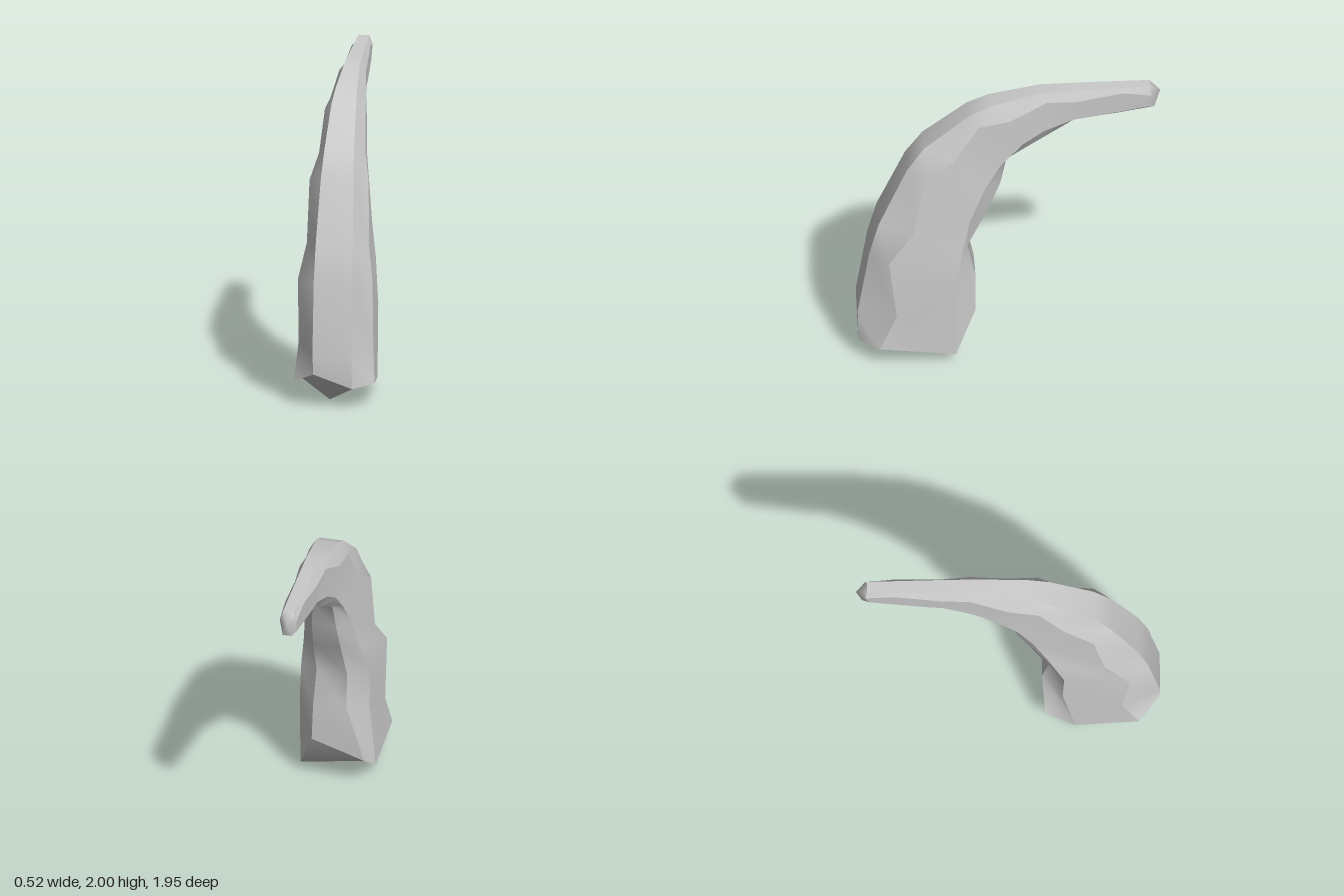
import * as THREE from 'three';
import { mergeGeometries } from 'three/addons/utils/BufferGeometryUtils.js';

// One row per cross-section, base to tip. Each entry is [half width, y, z] for
// the front edge, the side ridge, the rear corner and the back edge.
const rings = [
  [[.125, .17, .97], [.26, .14, .84], [.225, .06, .35], [.12, .30, .22]],
  [[.125, .35, .975], [.24, .38, .73], [.23, .55, .35], [.11, .60, .22]],
  [[.125, .81, .90], [.24, .80, .78], [.21, .84, .31], [.10, .83, .27]],
  [[.12, 1.03, .84], [.20, 1.00, .62], [.18, 1.07, .26], [.09, 1.10, .14]],
  [[.105, 1.44, .66], [.19, 1.40, .55], [.15, 1.31, .16], [.08, 1.30, .06]],
  [[.095, 1.60, .55], [.15, 1.53, .36], [.125, 1.47, .06], [.065, 1.48, .02]],
  [[.08, 1.83, .27], [.13, 1.78, .20], [.11, 1.62, -.08], [.055, 1.55, -.09]],
  [[.07, 1.90, .13], [.115, 1.81, 0], [.09, 1.71, -.22], [.05, 1.635, -.22]],
  [[.05, 1.98, -.20], [.085, 1.93, -.24], [.07, 1.78, -.41], [.04, 1.76, -.41]],
  [[.045, 1.99, -.45], [.075, 1.92, -.42], [.067, 1.795, -.52], [.038, 1.775, -.52]],
  [[.04, 1.995, -.70], [.06, 1.97, -.73], [.06, 1.82, -.68], [.035, 1.80, -.69]],
  [[.035, 2.00, -.90], [.055, 1.94, -.91], [.05, 1.85, -.88], [.03, 1.84, -.93]],
];

// Mirror a half section into a closed loop of eight points
function fullLoop(half) {
  const left = half.map(([w, y, z]) => [w, y, z]);
  const right = half.map(([w, y, z]) => [-w, y, z]).reverse();
  return [...left, ...right];
}

// A surface that is smooth inside and sharp along its border
function patch(points, index) {
  const geometry = new THREE.BufferGeometry();
  geometry.setAttribute('position', new THREE.Float32BufferAttribute(points.flat(), 3));
  geometry.setIndex(index);
  geometry.computeVertexNormals();
  return geometry;
}

function hornGeometry() {
  const loops = rings.map(fullLoop);
  const base = loops[0];
  const top = loops[loops.length - 1];
  const n = base.length;

  // Uneven, broken-off base
  base[0] = [.13, .13, .97];
  base[3] = [.12, .33, .22];
  base[4] = [-.22, .20, .24];
  base[5] = [-.25, .06, .43];
  base[7] = [-.12, .22, .97];
  loops[2][5] = [-.23, .84, .36];

  // Eight facets running the whole length
  const patches = [];
  for (let i = 0; i < n; i++) {
    const points = loops.flatMap(loop => [loop[i], loop[(i + 1) % n]]);
    const index = [];
    for (let k = 0; k < points.length - 2; k += 2) {
      index.push(k, k + 1, k + 2, k + 1, k + 3, k + 2);
    }
    patches.push(patch(points, index));
  }

  // Blunt tip
  const tipFan = top.flatMap((_, i) => [i, (i + 1) % n, n]);
  patches.push(patch([...top, [-.01, 1.94, -.97]], tipFan));

  // Underside: flat on the left, a low point on the right
  patches.push(patch([...base, [-.04, 0, .73]], [
    2, 1, 0, 4, 3, 2, 4, 2, 0, 7, 6, 5,
    4, 0, 8, 5, 4, 8, 7, 5, 8, 0, 7, 8,
  ]));
  return mergeGeometries(patches);
}

export function createModel() {
  const group = new THREE.Group();
  group.name = 'curvedHorn';
  const material = new THREE.MeshStandardMaterial({ color: 0xcccccc });
  const horn = new THREE.Mesh(hornGeometry(), material);
  horn.name = 'horn';
  group.add(horn);
  return group;
}
